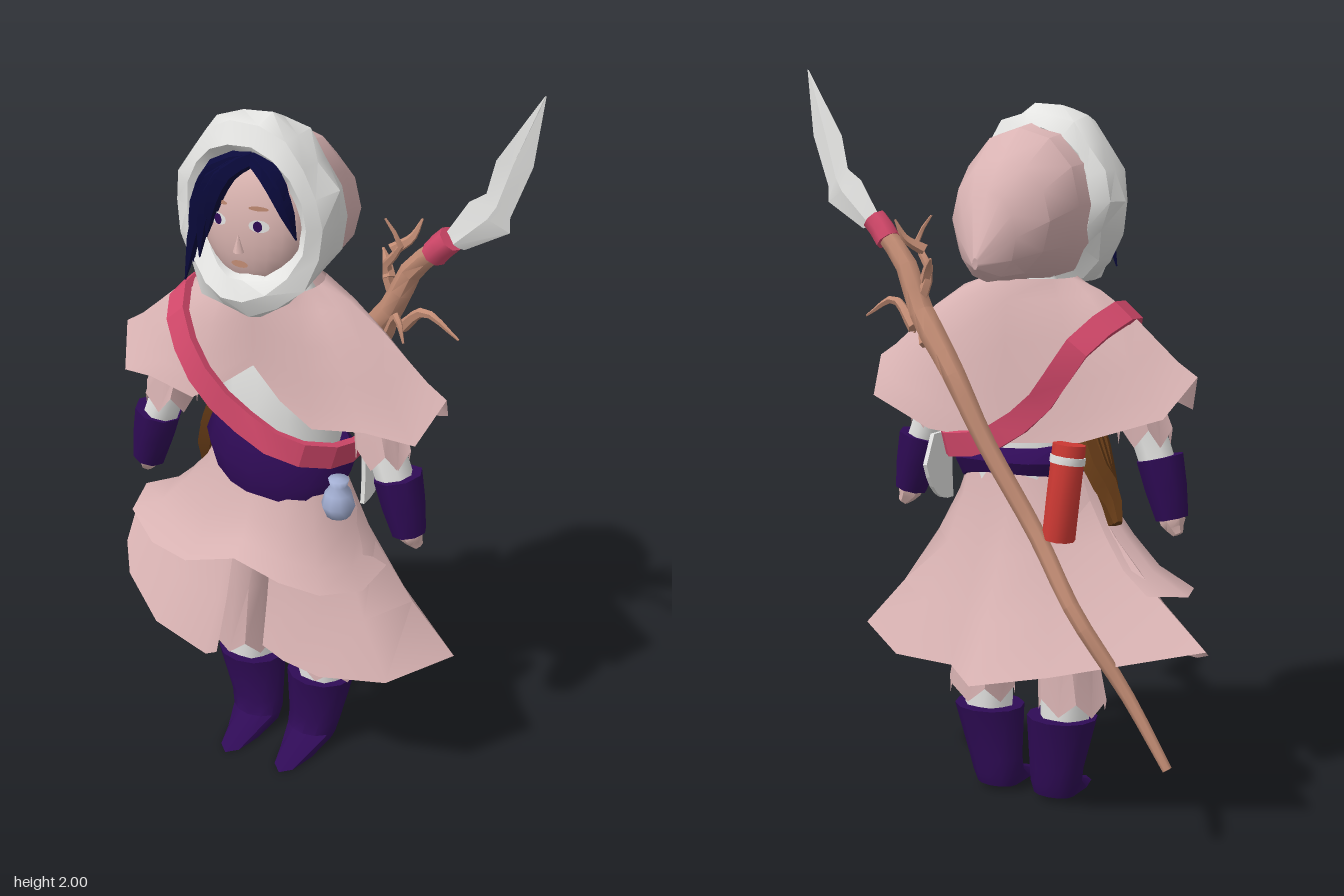
import * as THREE from 'three';
import { toCreasedNormals } from 'three/addons/utils/BufferGeometryUtils.js';

const V = (x, y, z) => new THREE.Vector3(x, y, z);
const CX = -0.03; // middle of the figure
const mat = (name, color, double) => {
  const m = new THREE.MeshStandardMaterial({ color });
  m.name = name;
  if (double) m.side = THREE.DoubleSide;
  return m;
};

// Skin a list of rings; each ring runs counterclockwise about the direction of travel
function loft(rings, { closed = true, caps = false, crease = 0.9 } = {}) {
  const n = rings[0].length, pos = [], idx = [];
  rings.forEach(r => r.forEach(p => pos.push(p.x, p.y, p.z)));
  for (let k = 0; k < rings.length - 1; k++)
    for (let i = 0; i < (closed ? n : n - 1); i++) {
      const a = k * n + i, b = k * n + (i + 1) % n;
      idx.push(a, b, b + n, a, b + n, a + n);
    }
  if (caps) [0, rings.length - 1].forEach((k, end) => {
    const c = rings[k].reduce((s, p) => s.add(p), V(0, 0, 0)).divideScalar(n);
    const ci = pos.length / 3;
    pos.push(c.x, c.y, c.z);
    for (let i = 0; i < n; i++) {
      const a = k * n + i, b = k * n + (i + 1) % n;
      end ? idx.push(a, b, ci) : idx.push(b, a, ci);
    }
  });
  const g = new THREE.BufferGeometry();
  g.setAttribute('position', new THREE.Float32BufferAttribute(pos, 3));
  g.setIndex(idx);
  return toCreasedNormals(g, crease);
}

// Horizontal ring starting at the front; jag zigzags the height, pleat the radius
function ring(cx, y, cz, rx, rz, n = 12, jag = 0, pleat = 0) {
  return Array.from({ length: n }, (_, i) => {
    const a = i / n * Math.PI * 2, s = i % 2 ? 1 : -1, k = 1 + s * pleat;
    return V(cx + Math.sin(a) * rx * k, y + s * jag, cz + Math.cos(a) * rz * k);
  });
}

// Tapered tube along a curve
function limb(points, radii, sides = 6, steps = 8) {
  const curve = new THREE.CatmullRomCurve3(points.map(p => V(...p)));
  const f = curve.computeFrenetFrames(steps), rings = [];
  for (let k = 0; k <= steps; k++) {
    const u = k / steps * (radii.length - 1), j = Math.min(Math.floor(u), radii.length - 2);
    const r = THREE.MathUtils.lerp(radii[j], radii[j + 1], u - j), p = curve.getPointAt(k / steps);
    rings.push(Array.from({ length: sides }, (_, i) => {
      const a = i / sides * Math.PI * 2;
      return p.clone().addScaledVector(f.normals[k], Math.cos(a) * r).addScaledVector(f.binormals[k], Math.sin(a) * r);
    }));
  }
  return loft(rings, { caps: true });
}

// Cloth hanging from an ellipse to a free hem; profile pairs blend [outward, down]
function drape(y, cz, rx, rz, hem, profile, closed) {
  return loft(profile.map(([a, b]) => hem.map(([hx, hy, hz]) => {
    const t = Math.atan2(hx - CX, hz - cz), L = THREE.MathUtils.lerp;
    return V(L(CX + Math.sin(t) * rx, hx, a), L(y, hy, b), L(cz + Math.cos(t) * rz, hz, a));
  })), { closed, crease: 1.1 });
}

export function createModel() {
  const model = new THREE.Group();
  const cloth = mat('dusty pink cloth', 0xd9b3b3, true), skin = mat('skin', 0xdcb6b2);
  const white = mat('white', 0xe4e4e2, true), purple = mat('deep purple', 0x2f0b56);
  const navy = mat('navy hair', 0x0a0a3c), crimson = mat('crimson', 0xd2486a);
  const wood = mat('wood', 0xc28c74), brown = mat('brown', 0x643a16);
  const blue = mat('pale blue', 0xa4b0d4), red = mat('red', 0xd03a34);
  const add = (name, geo, material) => {
    const m = new THREE.Mesh(geo, material);
    m.name = name;
    model.add(m);
    return m;
  };

  for (const s of [1, -1]) {
    const side = s > 0 ? 'left' : 'right', X = o => CX + s * o;
    // Pointed boot, sock and pleated trouser leg
    const sole = ring(X(0.09), 0.02, 0.04, 0.06, 0.038);
    sole.forEach(p => {
      const f = Math.max(0, (p.z - 0.04) / 0.038);
      p.z += f * 0.162;
      p.y -= f * 0.015;
    });
    add(side + 'Boot', loft([sole, ring(X(0.092), 0.055, 0.05, 0.075, 0.06), ring(X(0.097), 0.1, 0.043, 0.081, 0.055),
      ring(X(0.115), 0.25, 0.04, 0.1, 0.09)], { caps: true }), purple);
    add(side + 'Sock', loft([ring(X(0.12), 0.2, 0.045, 0.07, 0.06, 12, 0, 0.04),
      ring(X(0.12), 0.36, 0.045, 0.075, 0.065, 12, 0, 0.04)]), white);
    add(side + 'Trouser', loft([ring(X(0.142), 0.29, 0.045, 0.1, 0.085, 12, 0.022, 0.06),
      ring(X(0.122), 0.5, 0.045, 0.08, 0.075, 12, 0, 0.05),
      ring(X(0.1), 0.78, 0.045, 0.075, 0.075)]), cloth);
    // Arm: sleeve, undersleeve, cuff and hand
    add(side + 'Sleeve', loft([ring(X(0.325), 1.04, 0.1, 0.075, 0.07, 12, 0.025, 0.07),
      ring(X(0.3), 1.16, 0.09, 0.065, 0.065, 12, 0, 0.05), ring(X(0.23), 1.3, 0.07, 0.06, 0.06)]), cloth);
    add(side + 'Undersleeve', limb([[X(0.3), 1.14, 0.09], [X(0.345), 1.02, 0.1], [X(0.375), 0.94, 0.1]],
      [0.05, 0.05], 8, 3), white);
    add(side + 'Cuff', limb([[X(0.37), 0.985, 0.1], [X(0.388), 0.91, 0.1], [X(0.408), 0.825, 0.1]],
      [0.066, 0.059, 0.046], 8, 2), purple);
    add(side + 'Hand', limb([[X(0.4), 0.85, 0.1], [X(0.415), 0.81, 0.095], [X(0.43), 0.785, 0.09]],
      [0.036, 0.034, 0.014], 6, 4), skin);
  }

  // Full skirt split at the front, and the shorter apron layer over its front
  add('skirt', drape(0.95, 0.06, 0.18, 0.125, [[0.03, 0.45, 0.27], [0.1, 0.43, 0.28], [0.2, 0.4, 0.26],
    [0.38, 0.42, 0.22], [0.49, 0.43, 0.03], [0.26, 0.42, -0.17], [0.06, 0.43, -0.21], [-0.06, 0.42, -0.32],
    [-0.25, 0.45, -0.24], [-0.63, 0.54, -0.11], [-0.57, 0.48, 0.05], [-0.5, 0.44, 0.14],
    [-0.32, 0.41, 0.27], [-0.13, 0.39, 0.31], [-0.1, 0.4, 0.3]],
  [[1, 1], [0.63, 0.73], [0.3, 0.42], [0.1, 0.18], [0, 0]], false), cloth);
  add('apronLayer', drape(0.95, 0.06, 0.19, 0.135, [[-0.46, 0.66, -0.1], [-0.54, 0.65, -0.02], [-0.5, 0.64, 0.11],
    [-0.35, 0.64, 0.23], [-0.2, 0.66, 0.29], [-0.03, 0.73, 0.31], [0.1, 0.69, 0.3], [0.2, 0.66, 0.26],
    [0.28, 0.65, 0.17], [0.29, 0.67, 0.05]],
  [[1, 1], [0.66, 0.83], [0.4, 0.57], [0.14, 0.25], [0, 0]], false), cloth);

  // Shirt and slanted sash belt
  add('shirt', loft([ring(CX, 0.9, 0.05, 0.17, 0.12), ring(CX, 1.1, 0.06, 0.17, 0.13),
    ring(CX, 1.32, 0.06, 0.16, 0.11), ring(CX, 1.45, 0.06, 0.07, 0.07)]), white);
  add('belt', loft([[0.875, 0.94, 0.19, 0.155], [0.95, 0.97, 0.212, 0.17], [1.03, 1.0, 0.19, 0.145]]
    .map(([front, back, rx, rz]) => {
      const pts = ring(CX, 0, 0.06, rx, rz, 16);
      pts.forEach(p => {
        const k = THREE.MathUtils.clamp((p.z + 0.1) / 0.3, 0, 1);
        p.y = back + (front - back) * k - (p.x - CX) * 0.22 * k;
      });
      return pts;
    }), { caps: true }), purple);

  // Full shoulder cape with pointed sides and a front notch
  add('cape', drape(1.45, 0.07, 0.12, 0.13, [[-0.03, 1.25, 0.2], [0.06, 1.18, 0.22], [0.15, 1.12, 0.215],
    [0.29, 1.14, 0.2], [0.41, 1.11, 0.15], [0.45, 1.21, 0.06], [0.41, 1.11, -0.04], [0.2, 1.04, -0.09],
    [-0.03, 1.02, -0.095], [-0.26, 1.04, -0.09], [-0.47, 1.11, -0.04], [-0.52, 1.21, 0.06],
    [-0.47, 1.11, 0.15], [-0.35, 1.14, 0.2], [-0.21, 1.12, 0.215], [-0.12, 1.18, 0.22]],
  [[1, 1], [0.85, 0.85], [0.7, 0.65], [0.5, 0.38], [0.24, 0.12], [0, 0]], true), cloth);

  // Hood, tapering to a point behind
  add('hood', loft([[-0.23, 1.5, 0.008, 0.015], [-0.17, 1.565, 0.085, 0.115], [-0.1, 1.605, 0.145, 0.155],
    [0, 1.64, 0.178, 0.2], [0.13, 1.65, 0.19, 0.215]].map(([z, y, rx, ry]) =>
    Array.from({ length: 12 }, (_, i) => {
      const a = i / 12 * Math.PI * 2;
      return V(CX + Math.cos(a) * rx, y + Math.sin(a) * ry, z);
    })), { crease: 0.6 }), cloth);

  // Lumpy fur trim
  const lump = i => { const h = Math.sin(i * 12.99 + 3) * 437.58; return h - Math.floor(h); };
  add('furTrim', loft(Array.from({ length: 19 }, (_, k) => {
    const i = k % 18, a = i / 18 * Math.PI * 2, c = Math.cos(a), s = Math.sin(a);
    const up = Math.max(0, s), down = Math.max(0, -s) ** 2;
    const d = 0.068 + 0.015 * lump(i + 5) + 0.015 * up, z = 0.13 + 0.015 * up + 0.085 * down;
    return Array.from({ length: 8 }, (_, j) => {
      const b = j / 8 * Math.PI * 2, r = Math.sin(b) * (0.038 + 0.036 * lump(i * 8 + j));
      return V(-0.04 + c * (0.172 + r), 1.65 + s * (0.193 + r), z + Math.cos(b) * d);
    });
  }), { crease: 0.7 }), white);

  // Head with a flattened face and narrowed chin
  const FY = 1.64, RX = 0.155, RY = 0.19, FZ = 0.12, RZ = 0.14, FLAT = 0.6;
  const head = new THREE.SphereGeometry(1, 24, 16), hp = head.attributes.position;
  for (let i = 0; i < hp.count; i++) {
    const k = 1 - 0.2 * Math.min(0, hp.getY(i)) ** 2, z = hp.getZ(i);
    hp.setX(i, hp.getX(i) * k);
    if (z > 0) hp.setZ(i, z ** FLAT);
  }
  head.scale(RX, RY, RZ).translate(CX, FY, FZ);
  head.computeVertexNormals();
  add('head', head, skin);
  const faceZ = (x, y) => FZ + RZ * (1 - ((x - CX) / RX) ** 2 - ((y - FY) / RY) ** 2) ** (FLAT / 2);
  const feature = (name, x, y, w, h, material, lift = 0.004) => {
    const m = add(name, new THREE.CircleGeometry(1, 12), material);
    m.scale.set(w, h, 1);
    m.position.set(x, y, faceZ(x, y) + lift);
    m.rotation.y = (x - CX) * 4;
  };
  for (const s of [1, -1]) {
    feature('eyeWhite', CX + s * 0.058, 1.657, 0.027, 0.016, white);
    feature('iris', CX + s * 0.056, 1.657, 0.012, 0.014, purple, 0.007);
    feature('eyebrow', CX + s * 0.055, 1.7, 0.026, 0.006, wood);
  }
  feature('mouth', CX, 1.548, 0.024, 0.009, wood, 0.006);
  const nose = add('nose', new THREE.ConeGeometry(0.015, 0.05, 6), skin);
  nose.position.set(CX, 1.605, 0.258);

  // Swept fringe
  [[[-0.1, 1.76, 0.245], [-0.16, 1.62, 0.245], [-0.195, 1.47, 0.25]],
    [[-0.08, 1.76, 0.255], [-0.13, 1.65, 0.255], [-0.15, 1.54, 0.25]],
    [[-0.06, 1.78, 0.25], [-0.1, 1.7, 0.26], [-0.125, 1.6, 0.255]],
    [[-0.1, 1.78, 0.235], [-0.16, 1.68, 0.235], [-0.175, 1.52, 0.24]],
    [[0.05, 1.78, 0.24], [0.09, 1.72, 0.245], [0.115, 1.63, 0.23]],
    [[0.04, 1.79, 0.235], [0.08, 1.75, 0.245], [0.1, 1.68, 0.245]]].forEach(p =>
    add('fringeStrand', limb([[-0.01, 1.81, 0.215], ...p], [0.022, 0.027, 0.021, 0.002], 5, 7), navy));

  // Shoulder strap looping from right shoulder to left hip
  const loop = new THREE.CatmullRomCurve3([[-0.27, 1.33, 0.18], [-0.15, 1.2, 0.25], [-0.03, 1.1, 0.24],
    [0.08, 1.05, 0.23], [0.165, 1.02, 0.16], [0.19, 1, 0.05], [0.16, 1, -0.07], [0, 1.03, -0.12],
    [-0.15, 1.13, -0.13], [-0.26, 1.29, -0.105], [-0.32, 1.37, 0.04]].map(p => V(...p)), true);
  add('strap', loft(Array.from({ length: 21 }, (_, i) => {
    const u = (i % 20) / 20, p = loop.getPointAt(u), t = loop.getTangentAt(u);
    const w = t.clone().cross(p.clone().sub(V(CX, 1.05, 0.04)).normalize()).normalize();
    const o = w.clone().cross(t);
    return [[1, 1], [-1, 1], [-1, -1], [1, -1]].map(([a, b]) =>
      p.clone().addScaledVector(w, -a * 0.033).addScaledVector(o, b * 0.011));
  }), { crease: 0.4 }), crimson);

  // Crooked spear across the back, with twigs, binding and blade
  add('spearShaft', limb([[-0.56, 0.24, -0.18], [-0.44, 0.42, -0.175], [-0.3, 0.62, -0.195], [-0.17, 0.8, -0.155],
    [-0.01, 1.03, -0.145], [0.1, 1.21, -0.13], [0.22, 1.36, -0.09], [0.28, 1.48, -0.07], [0.37, 1.57, -0.05]],
  [0.013, 0.021, 0.024, 0.026, 0.036, 0.026], 7, 24), wood);
  [[[0.23, 1.36, -0.09], [0.2, 1.47, -0.08], [0.25, 1.54, -0.06], [0.21, 1.61, -0.05]],
    [[0.21, 1.44, -0.08], [0.19, 1.48, -0.1], [0.17, 1.5, -0.12]],
    [[0.22, 1.52, -0.07], [0.26, 1.55, -0.1], [0.28, 1.6, -0.12]],
    [[0.25, 1.31, -0.08], [0.33, 1.38, -0.05], [0.43, 1.33, -0.04]],
    [[0.2, 1.27, -0.1], [0.25, 1.35, -0.05], [0.28, 1.29, -0.03]]].forEach(p =>
    add('twig', limb(p, [0.018, 0.012, 0.003], 5, 7), wood));
  add('spearBinding', limb([[0.345, 1.54, -0.055], [0.365, 1.565, -0.05], [0.395, 1.595, -0.045]],
    [0.035, 0.035], 8, 2), crimson);
  add('spearBlade', loft([[0.365, 1.585, 0.43, 1.57, 0.012], [0.44, 1.7, 0.55, 1.64, 0.014],
    [0.485, 1.73, 0.55, 1.68, 0.012], [0.51, 1.82, 0.605, 1.82, 0.009], [0.628, 1.998, 0.632, 2, 0.001]]
    .map(([xl, yl, xr, yr, d]) => {
      const x = (xl + xr) / 2, y = (yl + yr) / 2, z = -0.05 + (y - 1.58) * 0.085;
      return [V(xl, yl, z), V(x, y, z + d), V(xr, yr, z), V(x, y, z - d)];
    }), { caps: true, crease: 0.3 }), white);

  // Hip gear: canister, bundle, pouch and curved white flap
  add('canister', limb([[-0.245, 1.04, -0.12], [-0.235, 0.92, -0.13], [-0.22, 0.79, -0.13]],
    [0.044, 0.044], 10, 2), red);
  add('canisterBand', limb([[-0.243, 1.01, -0.123], [-0.242, 1, -0.124], [-0.241, 0.99, -0.125]],
    [0.047, 0.047], 10, 2), white);
  for (let i = 0; i < 4; i++)
    add('bundleStrand', limb([[-0.2, 1.11, 0.1 - i * 0.02], [-0.24 - i * 0.006, 0.99, 0.08 - i * 0.035],
      [-0.27 - i * 0.02, 0.89, 0.05 - i * 0.03], [-0.29 - i * 0.025, 0.8 + i * 0.012, 0.03 - i * 0.035]],
    [0.016, 0.028, 0.034, 0.012], 5, 6), brown);
  add('pouch', new THREE.LatheGeometry([[0, -0.06], [0.032, -0.052], [0.045, -0.02], [0.036, 0.015],
    [0.022, 0.035], [0.028, 0.055], [0, 0.055]].map(p => new THREE.Vector2(...p)), 10)
    .translate(0.205, 0.915, 0.17), blue);
  const flap = new THREE.Shape();
  flap.moveTo(-0.04, 1.02);
  flap.quadraticCurveTo(-0.03, 0.9, -0.04, 0.83);
  flap.quadraticCurveTo(0.06, 0.82, 0.1, 0.94);
  flap.lineTo(0.06, 1.02);
  add('flap', new THREE.ExtrudeGeometry(flap, { depth: 0.012, bevelEnabled: false, curveSegments: 6 })
    .rotateY(Math.PI / 2).translate(0.2, 0, 0), white);
  return model;
}
